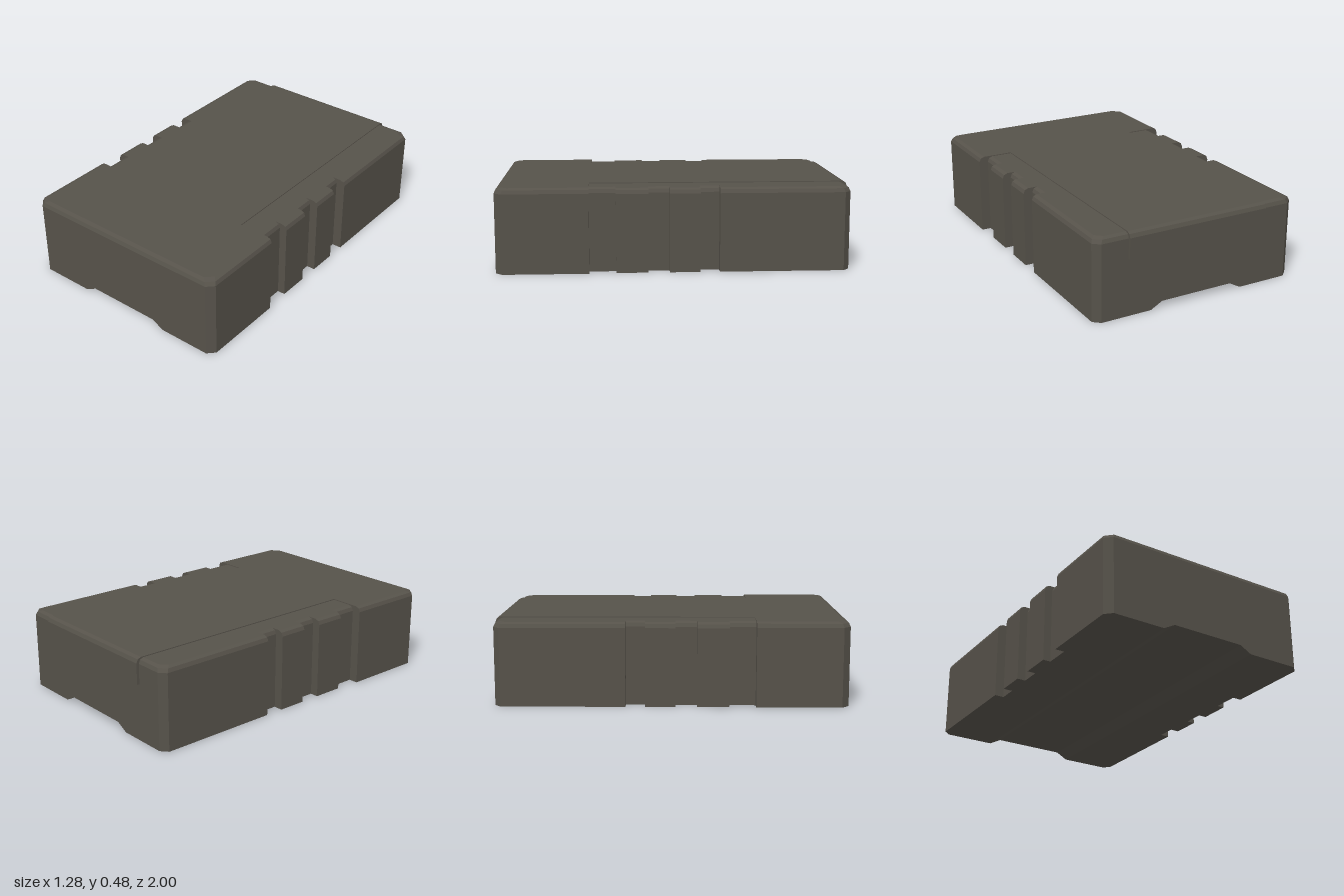
import * as THREE from 'three';

const casing = new THREE.MeshStandardMaterial({ color: 0x56524a });
casing.name = 'dark casing';

// Closed solid from one plan outline of [x, z] points, placed at several heights.
// Each layer is [y, rule], where the rule may shift a point.
function stack(name, outline, layers) {
  const plan = outline.map(([x, z]) => new THREE.Vector2(x, -z));
  if (THREE.ShapeUtils.area(plan) < 0) plan.reverse();
  const n = plan.length;
  const pos = [], idx = [];
  const rings = layers.map(([y, rule]) => plan.map(p => {
    const [x, z] = rule(p.x, -p.y);
    pos.push(x, y, z);
    return new THREE.Vector2(x, -z);
  }));
  for (let k = 0; k < layers.length - 1; k++) {
    for (let i = 0; i < n; i++) {
      const j = (i + 1) % n, a = k * n, b = a + n;
      idx.push(a + i, a + j, b + j, a + i, b + j, b + i);
    }
  }
  const top = (layers.length - 1) * n;
  for (const [a, b, c] of THREE.ShapeUtils.triangulateShape(rings[0], [])) idx.push(a, c, b);
  for (const [a, b, c] of THREE.ShapeUtils.triangulateShape(rings.at(-1), [])) idx.push(top + a, top + b, top + c);
  const indexed = new THREE.BufferGeometry();
  indexed.setAttribute('position', new THREE.Float32BufferAttribute(pos, 3));
  indexed.setIndex(idx);
  const geo = indexed.toNonIndexed();
  geo.computeVertexNormals();
  const mesh = new THREE.Mesh(geo, casing);
  mesh.name = name;
  return mesh;
}

const same = (x, z) => [x, z];
// Pulls the sides and the two ends inward for the chamfered top edge
const inset = d => (x, z) => [x - Math.sign(x) * d, Math.abs(z) > 0.9 ? z - Math.sign(z) * d : z];
// Widens the channel between the feet towards the ground
const flare = (x, z) => [Math.abs(x) < 0.25 ? Math.sign(x) * 0.29 : x, z];
const mirror = half => half.map(([x, z]) => [-x, z]);

const CHANNEL = 0.038;

// Body above the channel plus a foot on each side of it
function section(name, half, height) {
  const group = new THREE.Group();
  group.name = name;
  group.add(stack(name + 'Shell', [...half, ...mirror(half).reverse()], [
    [CHANNEL, same],
    [height - 0.03, same],
    [height - 0.009, inset(0.009)],
    [height, inset(0.03)],
  ]));
  const foot = [...half, [0.22, half.at(-1)[1]], [0.22, half[0][1]]];
  group.add(stack(name + 'LeftFoot', foot, [[0, flare], [CHANNEL, same]]));
  group.add(stack(name + 'RightFoot', mirror(foot), [[0, flare], [CHANNEL, same]]));
  return group;
}

export function createModel() {
  const model = new THREE.Group();
  model.name = 'casing';

  // Rear body with three finger grooves on each side: [start z, end z, floor x]
  const rear = [[0.59, -0.985], [0.63, -0.95]];
  for (const [z0, z1, x] of [[-0.25, -0.14, 0.575], [0.03, 0.15, 0.58], [0.33, 0.48, 0.585]]) {
    rear.push([0.63, z0], [x, z0], [x, z1]);
    if (z1 < 0.4) rear.push([0.63, z1]);
  }
  model.add(section('gripBody', rear, 0.475));

  // Wider front block
  model.add(section('frontBlock', [[0.64, 0.48], [0.64, 0.96], [0.6, 1]], 0.48));

  // Thin raised panel that covers the top and folds over the back edge
  const profile = new THREE.Shape([
    [0.48, 0.48], [-0.97, 0.48], [-0.991, 0.471], [-1, 0.45], [-1, 0.33],
    [-0.98, 0.33], [-0.98, 0.445], [-0.955, 0.47], [0.48, 0.47],
  ].map(([z, y]) => new THREE.Vector2(-z, y)));
  const panelGeo = new THREE.ExtrudeGeometry(profile, { depth: 0.86, bevelEnabled: false });
  panelGeo.translate(0, 0, -0.43).rotateY(Math.PI / 2);
  const panel = new THREE.Mesh(panelGeo, casing);
  panel.name = 'topPanel';
  model.add(panel);

  return model;
}
